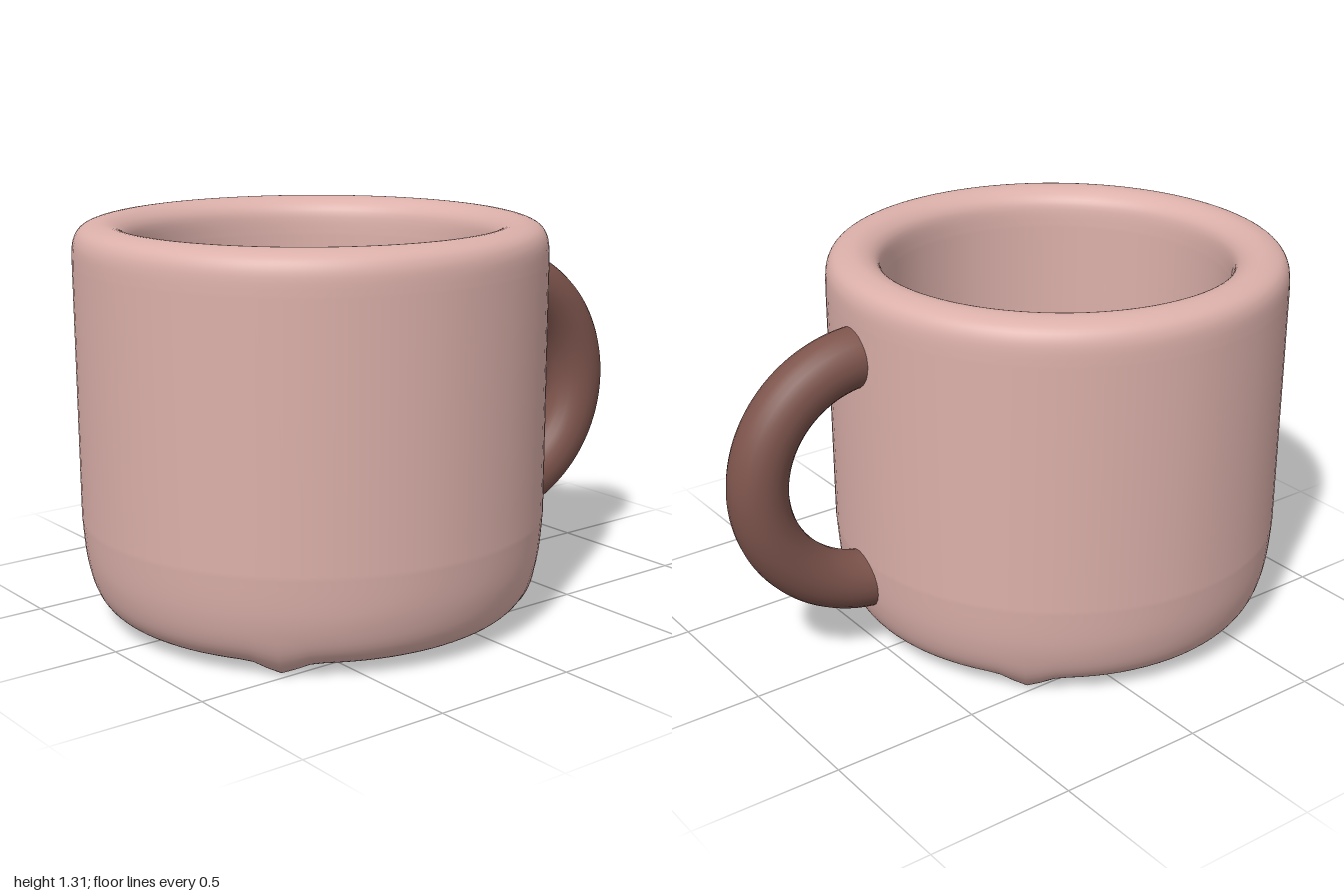
import * as THREE from 'three';

const CUP_Z = 0.22; // the cup sits forward, leaving room for the handle behind

// Smooth curve through [radius, height] pairs
const smooth = (pairs, n) => new THREE.SplineCurve(pairs.map(([r, y]) => new THREE.Vector2(r, y))).getPoints(n);

function createCup() {
  const profile = [
    new THREE.Vector2(0, 0.004),
    // underside, rounded foot and outer wall
    ...smooth([[0.3, 0.005], [0.54, 0.012], [0.66, 0.035], [0.725, 0.09], [0.76, 0.2], [0.774, 0.35]], 30),
    // soft rim
    ...smooth([[0.775, 1.18], [0.77, 1.255], [0.742, 1.298], [0.68, 1.315], [0.625, 1.3], [0.592, 1.26], [0.585, 1.18]], 30),
    // inner wall and floor
    ...smooth([[0.583, 0.4], [0.57, 0.29], [0.53, 0.21], [0.46, 0.18], [0.3, 0.175]], 20),
    new THREE.Vector2(0, 0.175),
  ];
  const geometry = new THREE.LatheGeometry(profile, 96);

  // Four small pinches along the diagonals of the foot
  const pos = geometry.attributes.position;
  for (let i = 0; i < pos.count; i++) {
    const x = pos.getX(i), y = pos.getY(i), z = pos.getZ(i);
    const r = Math.hypot(x, z);
    if (y > 0.15 || r < 0.4) continue;
    const diagonal = Math.abs(Math.sin(2 * Math.atan2(z, x))) ** 60;
    const band = Math.exp(-(((r - 0.68) / 0.07) ** 2));
    pos.setY(i, Math.max(0, y - 0.035 * diagonal * band));
  }

  const cup = new THREE.Mesh(geometry, new THREE.MeshStandardMaterial({ color: 0xdcb0aa, side: THREE.DoubleSide }));
  cup.name = 'cup';
  cup.position.z = CUP_Z;
  return cup;
}

function createHandle() {
  // Half ring whose ends are buried in the cup wall
  const geometry = new THREE.TorusGeometry(0.405, 0.1, 24, 64, Math.PI);
  geometry.rotateZ(-Math.PI / 2);
  geometry.rotateY(Math.PI / 2 - 0.105);
  const handle = new THREE.Mesh(geometry, new THREE.MeshStandardMaterial({ color: 0x7d544c, side: THREE.DoubleSide }));
  handle.name = 'handle';
  handle.position.set(0.064, 0.665, -0.495);
  return handle;
}

export function createModel() {
  const mug = new THREE.Group();
  mug.name = 'mug';
  mug.add(createCup(), createHandle());
  return mug;
}
